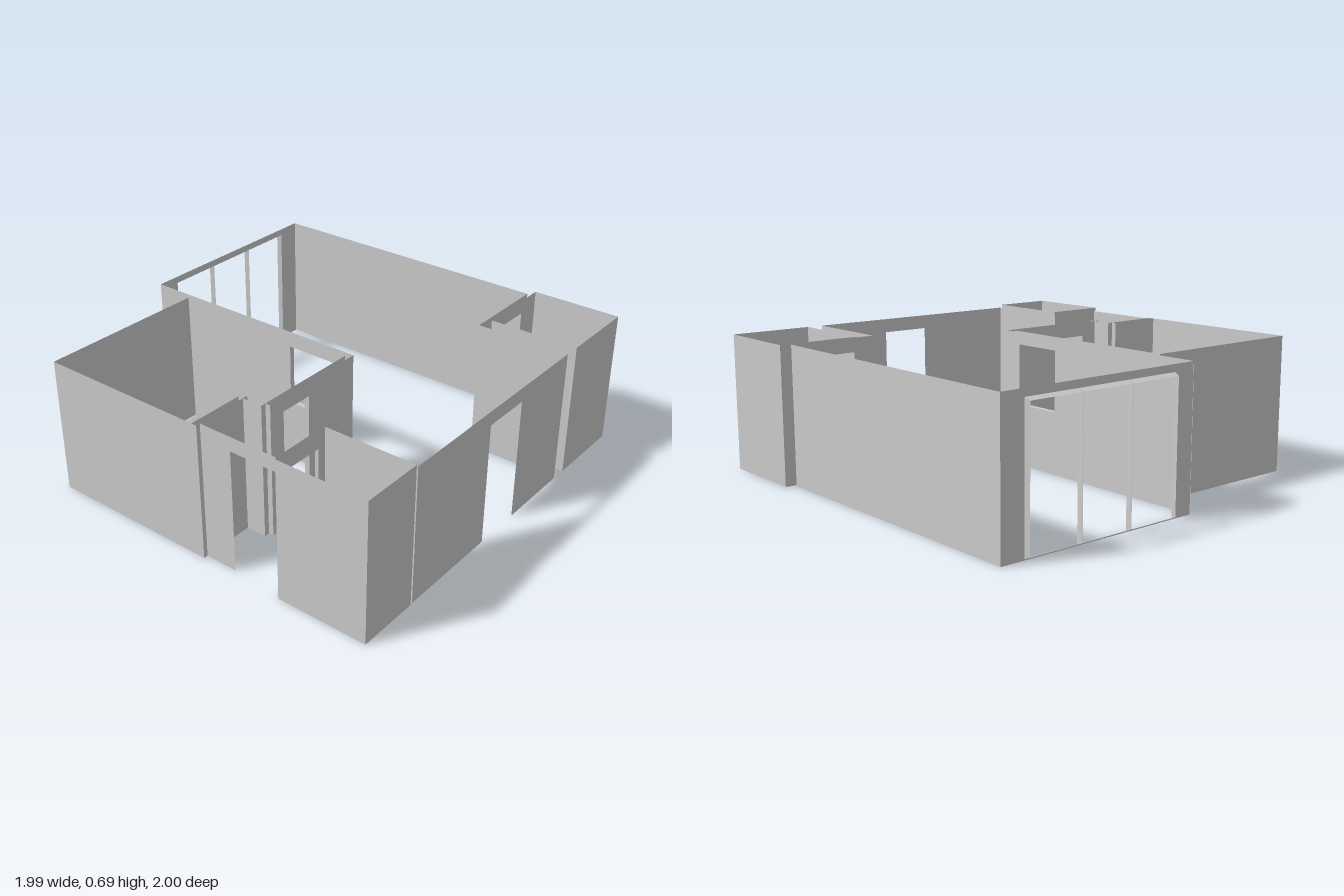
import * as THREE from 'three';

const H = 0.67, BOX_H = 0.685, DOOR_H = 0.6;

export function createModel() {
  const model = new THREE.Group();
  const thin = new THREE.MeshStandardMaterial({ color: 0xcccccc, side: THREE.DoubleSide, flatShading: true });
  const solid = new THREE.MeshStandardMaterial({ color: 0xcccccc, flatShading: true });

  const add = (name, geometry, material, parent = model) => {
    const mesh = new THREE.Mesh(geometry, material);
    mesh.name = name;
    parent.add(mesh);
  };

  // Upright sheet along x or z, with an optional opening [from, to, bottom, top]
  function wall(name, axis, at, from, to, height = H, opening = null) {
    const s = new THREE.Shape();
    s.moveTo(from, 0);
    if (opening && opening[2] === 0) {
      const [a, b, , top] = opening;
      s.lineTo(a, 0);
      s.lineTo(a, top);
      s.lineTo(b, top);
      s.lineTo(b, 0);
    }
    s.lineTo(to, 0);
    s.lineTo(to, height);
    s.lineTo(from, height);
    s.closePath();
    if (opening && opening[2] > 0) {
      const [a, b, low, top] = opening;
      const hole = new THREE.Path();
      hole.moveTo(a, low);
      hole.lineTo(a, top);
      hole.lineTo(b, top);
      hole.lineTo(b, low);
      hole.closePath();
      s.holes.push(hole);
    }
    const g = new THREE.ShapeGeometry(s);
    if (axis === 'x') g.translate(0, 0, at);
    else g.rotateY(-Math.PI / 2).translate(at, 0, 0);
    add(name, g, thin);
  }

  // Lining of an opening between two wall sheets
  function reveal(name, axis, near, far, [a, b, low, top]) {
    const group = new THREE.Group();
    group.name = name;
    const depth = far - near, mid = (near + far) / 2, width = b - a;
    for (const p of [a, b]) {
      const g = new THREE.PlaneGeometry(depth, top - low);
      if (axis === 'x') g.rotateY(Math.PI / 2).translate(p, (low + top) / 2, mid);
      else g.translate(mid, (low + top) / 2, p);
      add('jamb', g, thin, group);
    }
    const slab = (label, y, turn) => {
      const g = new THREE.PlaneGeometry(axis === 'x' ? width : depth, axis === 'x' ? depth : width);
      g.rotateX(turn);
      if (axis === 'x') g.translate((a + b) / 2, y, mid);
      else g.translate(mid, y, (a + b) / 2);
      add(label, g, solid, group);
    };
    slab('head', top, Math.PI / 2);
    if (low > 0) slab('sill', low, -Math.PI / 2);
    model.add(group);
  }

  // Living room and hall
  const glazing = [0.01, 0.83, 0.006, 0.636];
  wall('livingBackWall', 'x', -0.973, -0.105, 0.948, H, glazing);
  wall('livingSideWall', 'z', 0.948, -0.973, 0.53);
  wall('hallSideWall', 'z', 0.503, 0.53, 0.998, H, [0.64, 0.8, 0.435, 0.52]);
  wall('hallFrontWall', 'x', 0.998, -0.675, 0.503, H, [-0.14, 0.112, 0, DOOR_H]);
  wall('hallRightWall', 'z', -0.675, 0.53, 0.998);
  wall('passageEndWall', 'z', -0.967, 0.122, 0.53, H, [0.285, 0.525, 0, DOOR_H]);

  // Bedroom: outer sheets, plus paired sheets where it meets the hall
  const bedWindow = [-0.1, 0.16, 0.31, 0.61];
  const bedDoor = [-0.593, -0.423, 0, DOOR_H];
  wall('bedroomBackWall', 'x', -0.753, -0.988, -0.133);
  wall('bedroomSideWall', 'z', -0.988, -0.753, 0.122);
  wall('livingWindowWall', 'z', -0.107, -0.973, 0.25, H, bedWindow);
  wall('bedroomWindowWall', 'z', -0.133, -0.753, 0.224, H, bedWindow);
  reveal('windowLining', 'z', -0.133, -0.107, bedWindow);
  wall('hallDoorWall', 'x', 0.25, -0.678, -0.107, H, bedDoor);
  wall('bedroomDoorWall', 'x', 0.224, -0.705, -0.133, H, bedDoor);
  reveal('bedroomDoorLining', 'x', 0.224, 0.25, bedDoor);
  wall('hallJog', 'z', -0.678, 0.122, 0.25);
  wall('bedroomJog', 'z', -0.705, 0.096, 0.224);
  wall('hallAlcoveWall', 'x', 0.122, -0.988, -0.678);
  wall('bedroomAlcoveWall', 'x', 0.096, -0.988, -0.705);

  // Two small corner rooms, each behind a paired wall with a doorway
  const rooms = [
    { name: 'leftCornerRoom', x0: 0.583, x1: 0.994, h: H, hall: [0.503, 0.948], door: [0.61, 0.865, 0, DOOR_H] },
    { name: 'rightCornerRoom', x0: -0.996, x1: -0.688, h: BOX_H, hall: [-0.967, -0.675], door: [-0.948, -0.728, 0, DOOR_H] },
  ];
  for (const { name, x0, x1, h, hall, door } of rooms) {
    wall(name + 'FrontWall', 'x', 1, x0, x1, h);
    wall(name + 'WallA', 'z', x0, 0.55, 1, h);
    wall(name + 'WallB', 'z', x1, 0.55, 1, h);
    wall(name + 'BackWall', 'x', 0.55, x0, x1, h, door);
    wall(name + 'HallWall', 'x', 0.53, hall[0], hall[1], H, door);
    reveal(name + 'DoorLining', 'x', 0.53, 0.55, door);
  }

  // Three thin, slightly tapering pane frames at the back
  const frame = new THREE.Group();
  frame.name = 'windowFrame';
  const [left, right, low, top] = glazing;
  const paneWidth = (right - left) / 3;
  for (let i = 0; i < 3; i++) {
    const g = new THREE.CylinderGeometry(Math.SQRT1_2, Math.SQRT1_2 * 0.965, 1, 4, 1, true);
    g.rotateY(Math.PI / 4).rotateX(Math.PI / 2);
    g.scale(paneWidth, top - low, 0.027);
    g.translate(left + (i + 0.5) * paneWidth, (low + top) / 2, -0.9865);
    add('paneFrame', g, thin, frame);
  }
  model.add(frame);

  return model;
}
